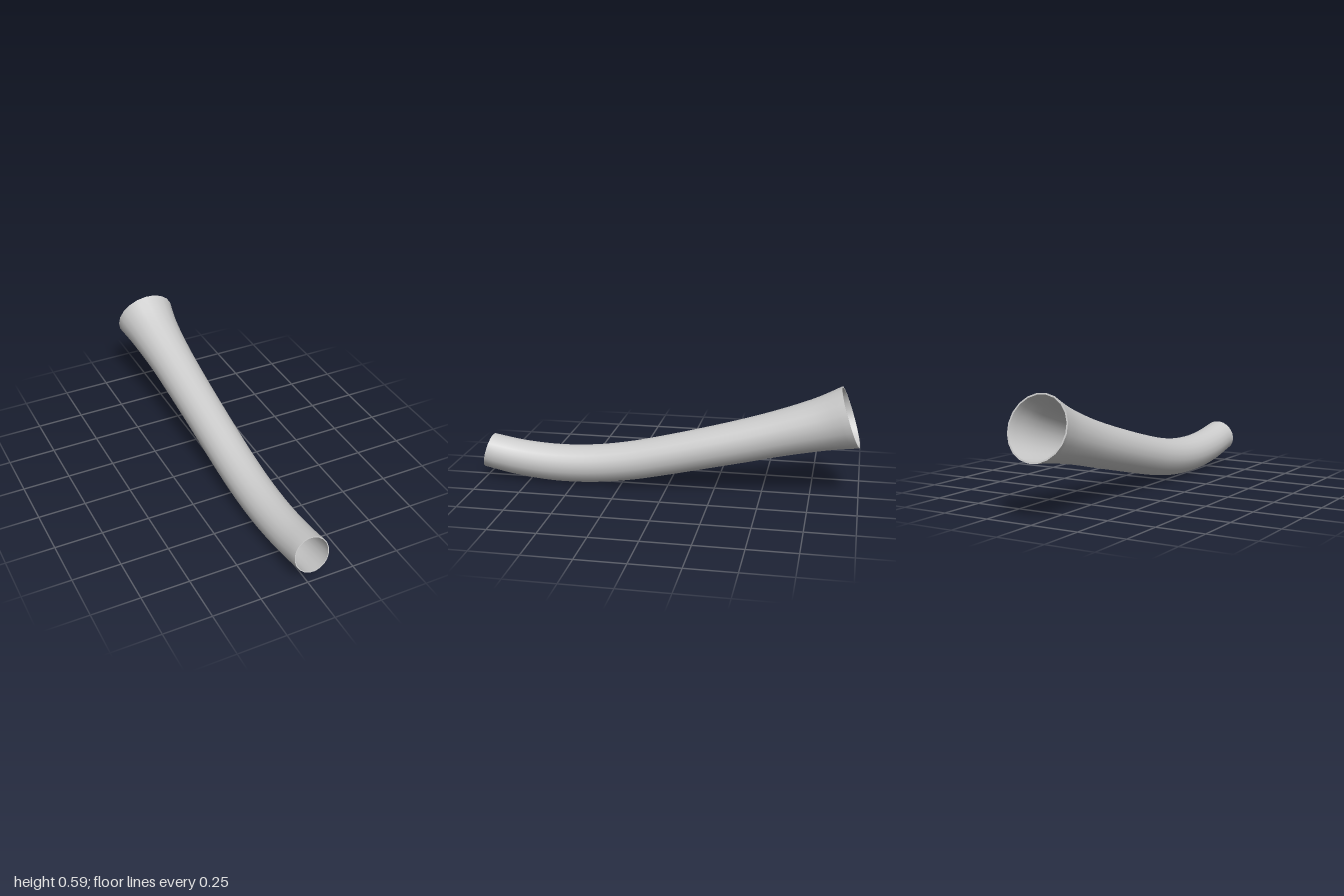
import * as THREE from 'three';

const SIDES = 20, STEPS = 36, WALL = 0.05;

// stations along the tube, front to back: x, y, z, radius, slope
const STATIONS = [
  [0.027, 0.150, 0.978, 0.093, 0.25],
  [0.025, 0.117, 0.80, 0.096, 0.13],
  [0.024, 0.101, 0.60, 0.099, 0.01],
  [0.023, 0.108, 0.40, 0.101, -0.09],
  [0.022, 0.136, 0.20, 0.103, -0.18],
  [0.020, 0.180, 0.00, 0.105, -0.235],
  [0.017, 0.229, -0.20, 0.108, -0.25],
  [0.013, 0.280, -0.40, 0.113, -0.26],
  [0.008, 0.335, -0.60, 0.121, -0.29],
  [0.002, 0.391, -0.80, 0.139, -0.325],
  [0.000, 0.435, -0.943, 0.164, -0.345],
];
const spline = (pick) => new THREE.CatmullRomCurve3(
  STATIONS.map((s) => new THREE.Vector3(...pick(s))), false, 'catmullrom');
const centre = spline((s) => [s[0], s[1], s[2]]);
const shape = spline((s) => [s[3], s[4], 0]);

// one tilted circular section at t, scaled about its centre
function ring(t, scale) {
  const c = centre.getPoint(t), { x: r, y: slope } = shape.getPoint(t);
  const tilt = Math.atan(slope);
  return Array.from({ length: SIDES }, (_, j) => {
    const a = ((j + 0.28) / SIDES) * Math.PI * 2;
    const u = Math.cos(a) * r * scale, v = Math.sin(a) * r * scale;
    return [c.x + u, c.y + v * Math.cos(tilt), c.z - v * Math.sin(tilt)];
  });
}

// skin a list of rings
function skin(name, rings, material) {
  const index = [];
  for (let i = 0; i < rings.length - 1; i++) {
    for (let j = 0; j < SIDES; j++) {
      const k = (j + 1) % SIDES;
      const a = i * SIDES + j, b = i * SIDES + k;
      const c = a + SIDES, d = b + SIDES;
      index.push(a, c, b, b, c, d);
    }
  }
  const geometry = new THREE.BufferGeometry();
  geometry.setAttribute('position', new THREE.Float32BufferAttribute(rings.flat(2), 3));
  geometry.setIndex(index);
  geometry.computeVertexNormals();
  const mesh = new THREE.Mesh(geometry, material);
  mesh.name = name;
  return mesh;
}

export function createModel() {
  const group = new THREE.Group();
  group.name = 'flaredTube';
  const material = new THREE.MeshStandardMaterial({ color: 0xcccccc });
  const inner = 1 - WALL;
  const rings = (scale) => Array.from({ length: STEPS + 1 }, (_, i) => ring(i / STEPS, scale));

  group.add(
    skin('outerWall', rings(1), material),
    skin('innerWall', rings(inner).reverse(), material),
    skin('frontRim', [ring(0, inner), ring(0, 1)], material),
    skin('backRim', [ring(1, 1), ring(1, inner)], material),
  );
  return group;
}
